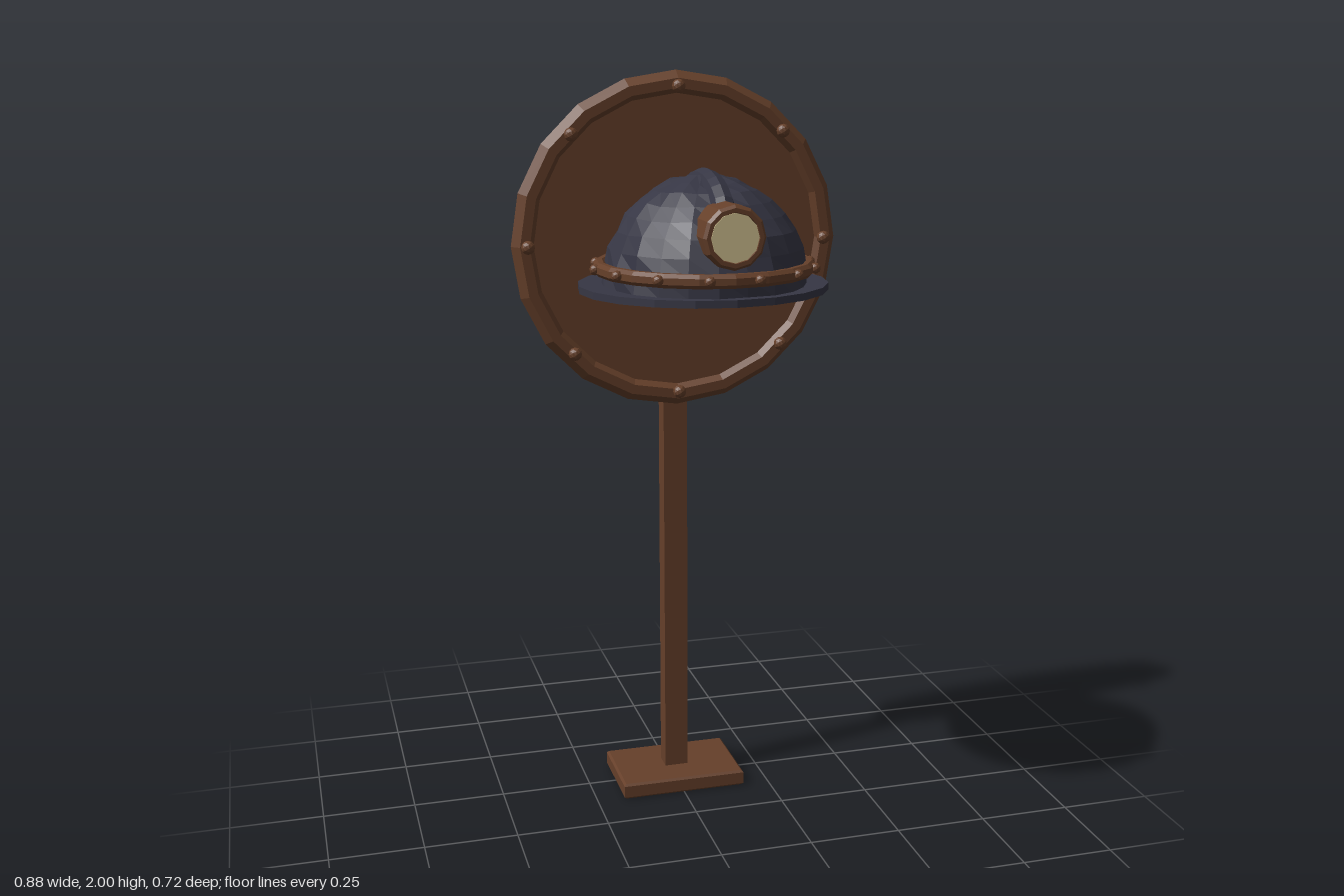
import * as THREE from 'three';

export function createModel() {
  const model = new THREE.Group();
  const material = (name, color) => {
    const m = new THREE.MeshStandardMaterial({ color, flatShading: true });
    m.name = name;
    return m;
  };
  const wood = material('brown wood', 0x66402a);
  const steel = material('dark blue steel', 0x363644);
  const glass = material('cream glass', 0xd2c292);

  const add = (name, geometry, mat, x = 0, y = 0, z = 0) => {
    const mesh = new THREE.Mesh(geometry, mat);
    mesh.name = name;
    mesh.position.set(x, y, z);
    model.add(mesh);
    return mesh;
  };
  const lathe = (pts, sides) =>
    new THREE.LatheGeometry(pts.map(([r, h]) => new THREE.Vector2(r, h)), sides);

  // Box with slightly chamfered edges, centred on its origin
  const chamferBox = (w, h, d, c) => {
    const shape = new THREE.Shape();
    const a = w / 2 - c, b = d / 2 - c;
    shape.moveTo(-a, -b).lineTo(a, -b).lineTo(a, b).lineTo(-a, b).closePath();
    return new THREE.ExtrudeGeometry(shape, {
      depth: h - 2 * c, bevelEnabled: true, bevelSize: c, bevelThickness: c, bevelSegments: 1,
    }).translate(0, 0, c - h / 2).rotateX(-Math.PI / 2);
  };

  // Stand: foot and pole
  add('foot', chamferBox(0.35, 0.045, 0.235, 0.006), wood, 0, 0.0225, -0.243);
  add('pole', chamferBox(0.066, 1.15, 0.054, 0.005), wood, 0, 0.605, -0.243);

  // Round plaque: thin back plate and raised bevelled rim around a sunken face
  const plaque = lathe([
    [0, -0.268], [0.4, -0.268], [0.408, -0.262], [0.408, -0.222], [0.43, -0.222],
    [0.44, -0.2], [0.42, -0.174], [0.395, -0.174], [0.382, -0.192], [0, -0.192],
  ], 20).rotateX(Math.PI / 2);
  add('plaque', plaque, wood, 0, 1.56, 0);

  // Rivets on the plaque rim
  const rivet = new THREE.IcosahedronGeometry(0.018, 1);
  for (let i = 0; i < 8; i++) {
    const a = (i * Math.PI) / 4;
    add('plaqueRivet', rivet, wood, 0.4 * Math.cos(a), 1.56 + 0.4 * Math.sin(a), -0.17);
  }

  // Tapered peg that carries the helmet, rising toward the front
  const peg = add('peg', new THREE.CylinderGeometry(0.021, 0.031, 0.28, 8), wood, 0, 1.438, -0.06);
  peg.rotation.x = Math.PI / 2 - 0.11;

  // Helmet brim
  const brim = new THREE.CylinderGeometry(0.315, 0.315, 0.018, 20);
  brim.scale(1, 1, 0.94);
  add('brim', brim, steel, 0, 1.482, 0.06);

  // Dented dome: a hemisphere with its vertices pushed in and out by a smooth rule
  const dome = new THREE.SphereGeometry(1, 22, 9, 0, Math.PI * 2, 0, Math.PI / 2);
  const p = dome.attributes.position;
  for (let i = 0; i < p.count; i++) {
    const x = p.getX(i), y = p.getY(i), z = p.getZ(i);
    const dent = 1 + 0.018 * Math.sin(9 * x + 5 * y) * Math.sin(11 * z + 4 * y)
      + 0.012 * Math.sin(23 * x - 17 * z + 13 * y);
    p.setXYZ(i, x * 0.255 * dent, y * 0.27 * dent, z * 0.255 * dent);
  }
  add('dome', dome, steel, 0, 1.488, 0.078);

  // Ridge over the crown, both ends sunk into the dome
  const ridgePath = new THREE.CatmullRomCurve3([
    [1.60, 0.255], [1.69, 0.235], [1.732, 0.165], [1.744, 0.08], [1.73, 0], [1.69, -0.07], [1.62, -0.085],
  ].map(([y, z]) => new THREE.Vector3(0, y, z)));
  add('crownRidge', new THREE.TubeGeometry(ridgePath, 14, 0.03, 8), steel);

  // Band around the dome, with rivets
  const band = lathe([
    [0.247, 0.01], [0.247, -0.01], [0.255, -0.017], [0.268, -0.017], [0.277, -0.008],
    [0.277, 0.008], [0.268, 0.017], [0.255, 0.017], [0.247, 0.01],
  ], 20);
  add('band', band, wood, 0, 1.532, 0.07);
  const bandRivet = new THREE.IcosahedronGeometry(0.014, 1);
  for (let i = 0; i < 14; i++) {
    const a = (i * Math.PI) / 7;
    add('bandRivet', bandRivet, wood, 0.277 * Math.cos(a), 1.533, 0.07 + 0.277 * Math.sin(a));
  }

  // Head lamp: housing with a rimmed mouth and a flat lens
  const lamp = lathe([
    [0, 0.2], [0.068, 0.2], [0.077, 0.235], [0.077, 0.332], [0.07, 0.341], [0.06, 0.341], [0.058, 0.334], [0, 0.334],
  ], 12).rotateX(Math.PI / 2);
  add('lampHousing', lamp, wood, 0, 1.633, 0);
  const lens = new THREE.CylinderGeometry(0.0585, 0.0585, 0.006, 12).rotateX(Math.PI / 2);
  add('lampLens', lens, glass, 0, 1.633, 0.336);

  // Centre the depth of the whole model
  const box = new THREE.Box3().setFromObject(model);
  const shift = -(box.min.z + box.max.z) / 2;
  model.children.forEach((m) => { m.position.z += shift; });
  return model;
}
